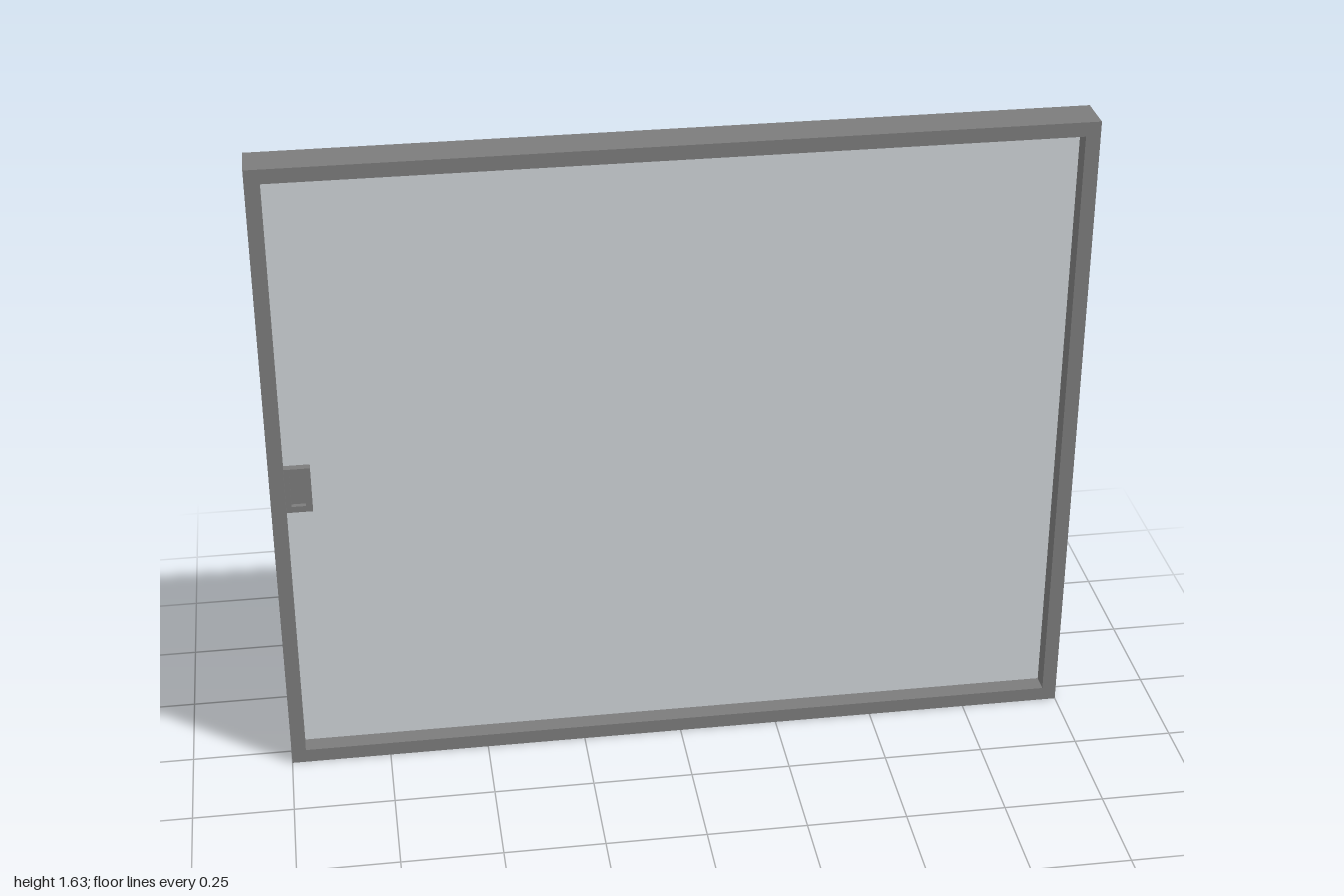
import * as THREE from 'three';

const frameMaterial = new THREE.MeshStandardMaterial({ color: 0x7c7c7c });
const glassMaterial = new THREE.MeshStandardMaterial({ color: 0xcfd5d8 });

function rectangle(Type, x0, y0, x1, y1) {
  const path = new Type();
  path.moveTo(x0, y0);
  path.lineTo(x1, y0);
  path.lineTo(x1, y1);
  path.lineTo(x0, y1);
  path.closePath();
  return path;
}

// Rectangular ring of the given border, centred on z = 0
function ring(name, x0, y0, x1, y1, border, depth) {
  const shape = rectangle(THREE.Shape, x0, y0, x1, y1);
  shape.holes.push(rectangle(THREE.Path, x0 + border, y0 + border, x1 - border, y1 - border));
  const geometry = new THREE.ExtrudeGeometry(shape, { depth, bevelEnabled: false });
  geometry.translate(0, 0, -depth / 2);
  const mesh = new THREE.Mesh(geometry, frameMaterial);
  mesh.name = name;
  return mesh;
}

function panel(name, x0, y0, x1, y1, depth, material) {
  const mesh = new THREE.Mesh(new THREE.BoxGeometry(x1 - x0, y1 - y0, depth), material);
  mesh.position.set((x0 + x1) / 2, (y0 + y1) / 2, 0);
  mesh.name = name;
  return mesh;
}

export function createModel() {
  const model = new THREE.Group();
  model.name = 'slidingWindowPanel';

  // Outer frame and the pane at mid depth
  const height = 1.635, border = 0.036;
  model.add(ring('frame', -1, 0, 1, height, border, 0.104));
  model.add(panel('glassPane', -1 + border, border, 1 - border, height - border, 0.01, glassMaterial));

  // Recessed finger pull, the same on both faces
  const pull = new THREE.Group();
  pull.name = 'fingerPull';
  pull.add(ring('pullRim', -0.967, 0.72, -0.9, 0.84, 0.016, 0.05));
  pull.add(panel('pullRecess', -0.951, 0.736, -0.916, 0.824, 0.024, frameMaterial));
  model.add(pull);

  return model;
}
